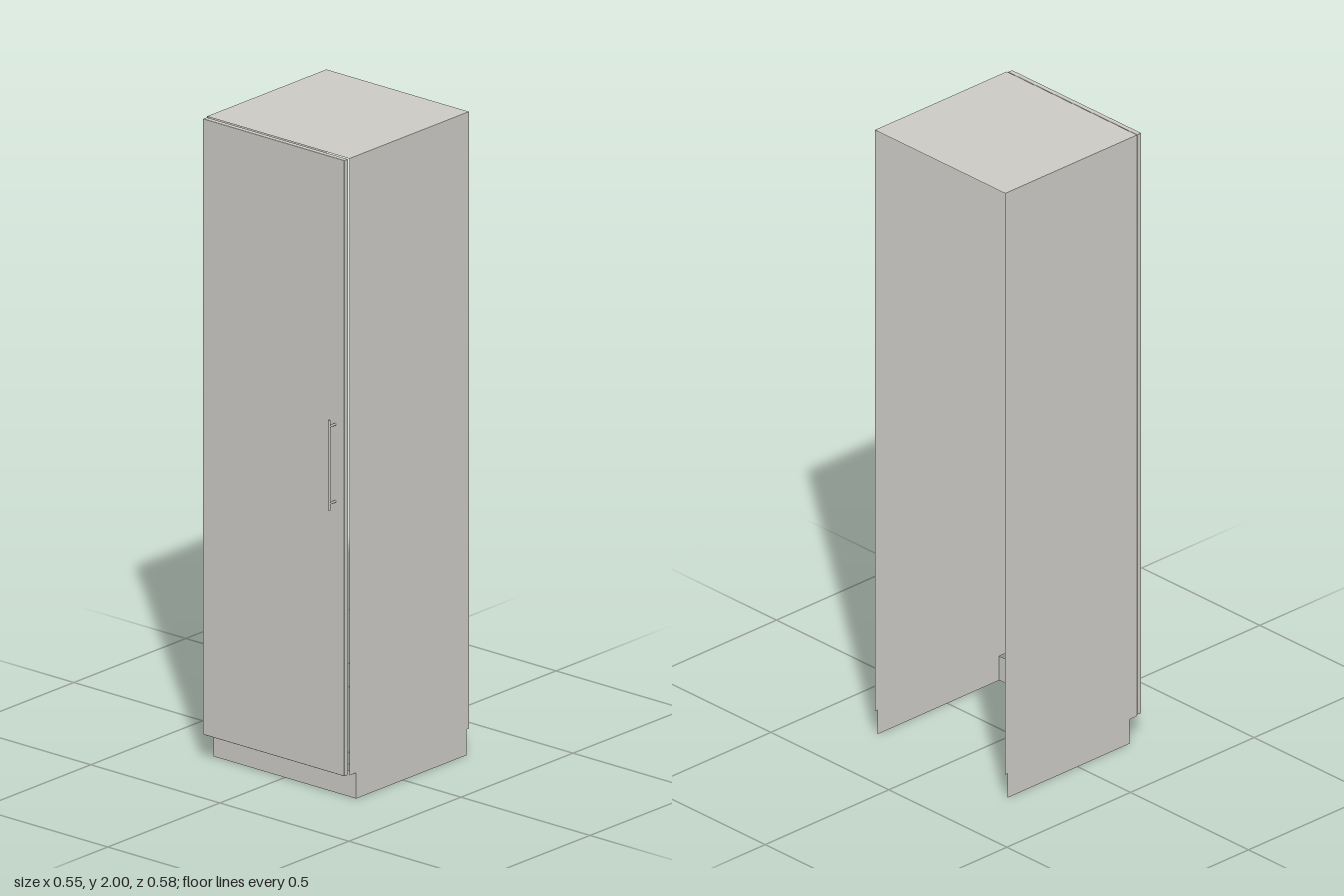
import * as THREE from 'three';
import { RoundedBoxGeometry } from 'three/addons/geometries/RoundedBoxGeometry.js';

const HALF_W = 0.276, BACK = -0.293, FRONT = 0.24, KICK = 0.08, TOP = 2;

export function createModel() {
  const group = new THREE.Group();
  const paint = new THREE.MeshStandardMaterial({ color: 0xcbcac5, side: THREE.DoubleSide });
  paint.name = 'light grey paint';
  const metal = new THREE.MeshStandardMaterial({ color: 0xc4c4c2 });
  metal.name = 'handle metal';

  function add(name, geometry, material, x, y, z, parent = group) {
    const mesh = new THREE.Mesh(geometry, material);
    mesh.name = name;
    mesh.position.set(x, y, z);
    parent.add(mesh);
    return mesh;
  }

  // Thin sheet facing sideways (s = +1 left, -1 right)
  function sideSheet(name, s, y0, y1, z0, z1) {
    const mesh = add(name, new THREE.PlaneGeometry(z1 - z0, y1 - y0), paint,
      s * HALF_W, (y0 + y1) / 2, (z0 + z1) / 2);
    mesh.rotation.y = s * Math.PI / 2;
  }

  // Carcass and plinth sides; the back and underside stay open
  for (const [side, s] of [['left', 1], ['right', -1]]) {
    sideSheet(side + 'SidePanel', s, KICK, TOP, BACK, FRONT);
    sideSheet(side + 'PlinthSide', s, 0, KICK, -0.283, 0.21);
  }

  // Top panel
  const top = add('topPanel', new THREE.PlaneGeometry(HALF_W * 2, FRONT - BACK), paint,
    0, TOP, (FRONT + BACK) / 2);
  top.rotation.x = -Math.PI / 2;

  // Recessed plinth front
  add('plinthFront', new THREE.PlaneGeometry(HALF_W * 2, KICK), paint, 0, KICK / 2, 0.21);

  // Door with softly eased edges
  add('door', new RoundedBoxGeometry(0.548, 1.917, 0.017, 2, 0.002), paint, 0, 1.0405, 0.2515);

  // Bar handle on two posts
  const handle = new THREE.Group();
  handle.name = 'handle';
  group.add(handle);
  add('handleBar', new THREE.CylinderGeometry(0.004, 0.004, 0.28, 16), metal, 0.239, 1.05, 0.287, handle);
  for (const y of [0.93, 1.17]) {
    const post = add('handlePost', new THREE.CylinderGeometry(0.0035, 0.0035, 0.027, 12), metal,
      0.239, y, 0.2735, handle);
    post.rotation.x = Math.PI / 2;
  }
  return group;
}
